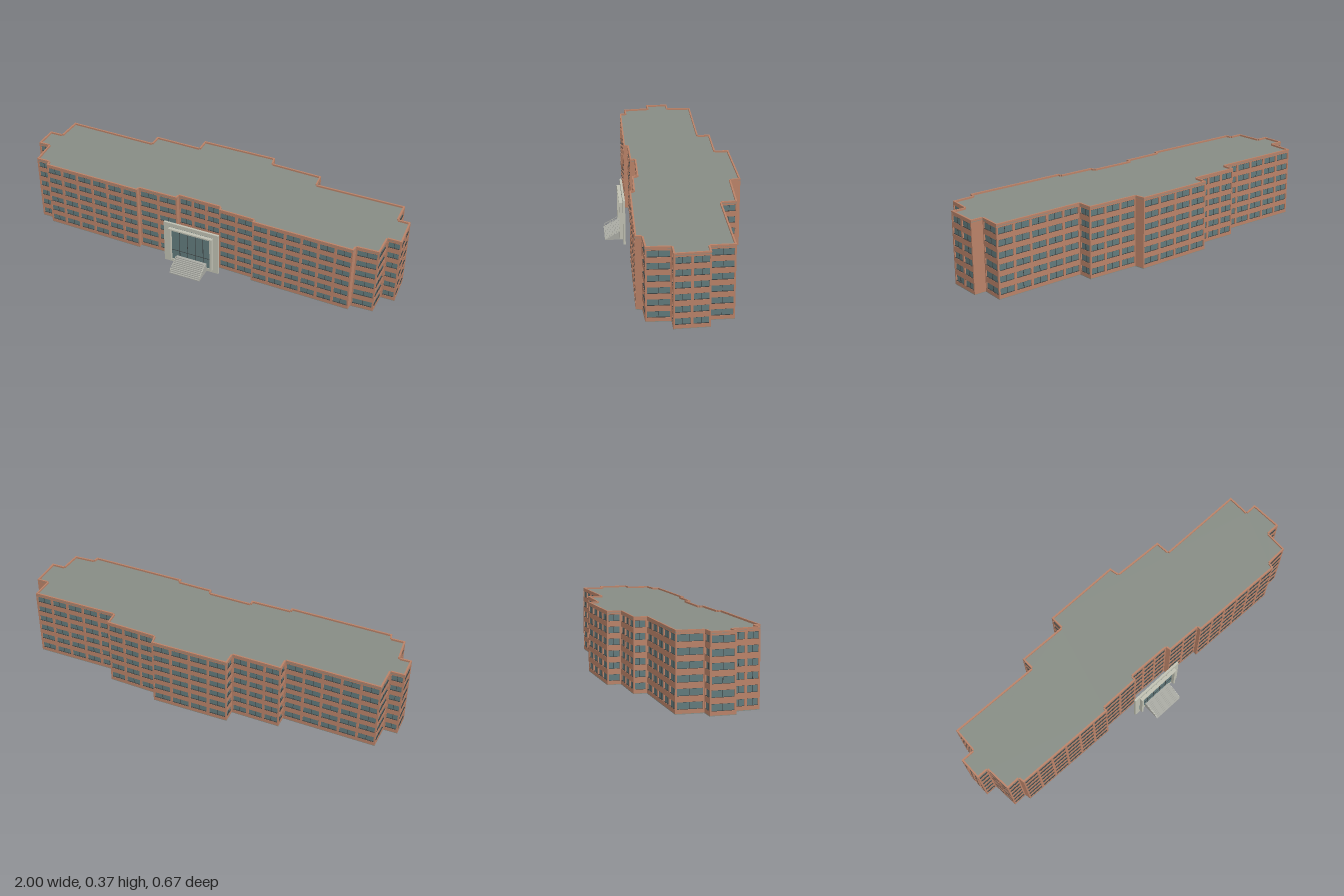
import * as THREE from 'three';
import { mergeGeometries } from 'three/addons/utils/BufferGeometryUtils.js';

const mat = (color, side = THREE.FrontSide) => new THREE.MeshStandardMaterial({ color, side });
const brick = mat(0xb98268);
const glass = mat(0x617a7c);
const dark = mat(0x3a3f3f);
const roofGrey = mat(0x868c84);
const stone = mat(0xbfc0b2);
const concrete = mat(0xa9aaa3);

// Footprint corners [x, z]: left end, along the back, right end, along the front
const outline = [
  [-1, -0.085], [-0.93, -0.085], [-0.925, -0.215], [-0.45, -0.205], [-0.45, -0.27], [-0.2, -0.265],
  [-0.2, -0.335], [0.2, -0.335], [0.21, -0.285], [0.475, -0.275], [0.48, -0.2], [0.935, -0.2],
  [0.935, -0.085], [0.995, -0.085], [1, 0.08], [0.93, 0.08], [0.925, 0.195], [0.815, 0.2],
  [0.81, 0.23], [0.3, 0.22], [0.3, 0.2], [0.115, 0.195], [0.11, 0.17], [-0.115, 0.165],
  [-0.115, 0.19], [-0.325, 0.19], [-0.325, 0.21], [-0.855, 0.2], [-0.86, 0.17], [-0.93, 0.17],
  [-0.94, 0.035], [-1, 0.035],
];
const BASE = 0.003, TOP = 0.366, ROOF = 0.357, THICK = 0.008;
const FLOORS = 6, FLOOR_H = 0.0588, SILL = 0.021, WIN_H = 0.032;

function add(parent, name, geometry, material) {
  const mesh = new THREE.Mesh(geometry, material);
  mesh.name = name;
  parent.add(mesh);
  return mesh;
}

// Box given by its min and max corners
function box(x0, x1, y0, y1, z0, z1) {
  return new THREE.BoxGeometry(x1 - x0, y1 - y0, z1 - z0)
    .translate((x0 + x1) / 2, (y0 + y1) / 2, (z0 + z1) / 2);
}

function rect(path, x0, x1, y0, y1) {
  return path.moveTo(x0, y0).lineTo(x1, y0).lineTo(x1, y1).lineTo(x0, y1).closePath();
}

// Horizontal slab filling the footprint
function slab(y0, y1) {
  const shape = new THREE.Shape(outline.map(([x, z]) => new THREE.Vector2(x, -z)));
  return new THREE.ExtrudeGeometry(shape, { depth: y1 - y0, bevelEnabled: false })
    .rotateX(-Math.PI / 2).translate(0, y0, 0);
}

// One straight facade, local x along the wall and local +z outward
function facade(b, a) {
  const group = new THREE.Group();
  const dx = a[0] - b[0], dz = a[1] - b[1], len = Math.hypot(dx, dz);
  const shape = rect(new THREE.Shape(), 0, len, BASE, TOP);
  const bars = [];
  if (len > 0.06) {
    const bays = Math.max(1, Math.round(len / 0.09));
    const pitch = len / bays, gap = 0.006;
    for (let i = 0; i < bays; i++) {
      const x0 = i * pitch + gap, x1 = (i + 1) * pitch - gap, mid = (x0 + x1) / 2;
      for (let f = 0; f < FLOORS; f++) {
        const y0 = SILL + f * FLOOR_H, y1 = y0 + WIN_H;
        shape.holes.push(rect(new THREE.Path(), x0, x1, y0, y1));
        // centre mullion and slim frame
        bars.push(box(mid - 0.0008, mid + 0.0008, y0, y1, -0.006, -0.004));
        bars.push(box(x0, x1, y0, y0 + 0.001, -0.006, -0.001));
        bars.push(box(x0, x1, y1 - 0.001, y1, -0.006, -0.001));
      }
    }
    add(group, 'windowGlass', new THREE.PlaneGeometry(len, ROOF - BASE)
      .translate(len / 2, (ROOF + BASE) / 2, -0.006), glass);
    add(group, 'windowFrames', mergeGeometries(bars), dark);
  }
  add(group, 'brickWall', new THREE.ExtrudeGeometry(shape, { depth: THICK, bevelEnabled: false })
    .translate(0, 0, -THICK), brick);
  group.position.set(b[0], 0, b[1]);
  group.rotation.y = Math.atan2(-dz, dx);
  return group;
}

// Portal outline: two legs and a lintel
function portal(x0, x1, y0, top, leg, lintel, z0, z1) {
  const s = new THREE.Shape();
  s.moveTo(x0, y0).lineTo(x0 + leg, y0).lineTo(x0 + leg, top - lintel).lineTo(x1 - leg, top - lintel)
    .lineTo(x1 - leg, y0).lineTo(x1, y0).lineTo(x1, top).lineTo(x0, top).closePath();
  return new THREE.ExtrudeGeometry(s, { depth: z1 - z0, bevelEnabled: false }).translate(0, 0, z0);
}

function entrance() {
  const group = new THREE.Group();
  group.name = 'entrance';
  add(group, 'outerPortal', portal(-0.165, 0.133, 0, 0.24, 0.03, 0.022, 0.232, 0.243), stone);
  add(group, 'innerPortal', portal(-0.134, 0.104, 0.018, 0.217, 0.012, 0.008, 0.243, 0.26), stone);
  add(group, 'entranceGlass', box(-0.135, 0.103, 0.018, 0.218, 0.236, 0.24), glass);
  add(group, 'threshold', box(-0.135, 0.103, 0, 0.018, 0.233, 0.243), stone);

  // glazing bars
  const bars = [];
  for (let i = 1; i < 5; i++) {
    const x = -0.122 + i * 0.0428;
    bars.push(box(x - 0.001, x + 0.001, 0.018, 0.209, 0.24, 0.242));
  }
  for (const y of [0.075, 0.195]) bars.push(box(-0.122, 0.092, y, y + 0.002, 0.24, 0.242));
  add(group, 'glazingBars', mergeGeometries(bars), dark);

  // steps
  const x0 = -0.095, x1 = 0.07, zFront = 0.335, steps = 10, run = 0.0085, rise = 0.0047;
  const s = new THREE.Shape().moveTo(0.243, 0).lineTo(zFront, 0);
  for (let i = 0; i < steps; i++) {
    s.lineTo(zFront - i * run, (i + 1) * rise);
    s.lineTo(i === steps - 1 ? 0.243 : zFront - (i + 1) * run, (i + 1) * rise);
  }
  s.closePath();
  add(group, 'steps', new THREE.ExtrudeGeometry(s, { depth: x1 - x0, bevelEnabled: false })
    .rotateY(-Math.PI / 2).translate(x1, 0, 0), concrete);

  // handrails on both sides
  const rails = [];
  for (const x of [x0 + 0.002, x1 - 0.002]) {
    for (let i = 0; i < 9; i++) {
      const z = zFront - (i + 0.5) * run, y = (i + 1) * rise;
      rails.push(box(x - 0.0006, x + 0.0006, y, y + 0.013, z - 0.0006, z + 0.0006));
    }
    const len = Math.hypot(8 * run, 8 * rise);
    rails.push(new THREE.BoxGeometry(0.0016, 0.0016, len).rotateX(Math.atan2(rise, run))
      .translate(x, 5 * rise + 0.013, zFront - 4.5 * run));
  }
  add(group, 'handrails', mergeGeometries(rails), stone);
  return group;
}

export function createModel() {
  const model = new THREE.Group();
  model.name = 'officeBuilding';
  add(model, 'foundation', slab(0, BASE), roofGrey);
  add(model, 'roof', slab(ROOF - 0.003, ROOF), roofGrey);

  const walls = new THREE.Group();
  walls.name = 'facades';
  outline.forEach((a, i) => {
    const wall = facade(outline[(i + 1) % outline.length], a);
    wall.name = 'facade' + (i + 1);
    walls.add(wall);
  });
  model.add(walls, entrance());
  return model;
}
